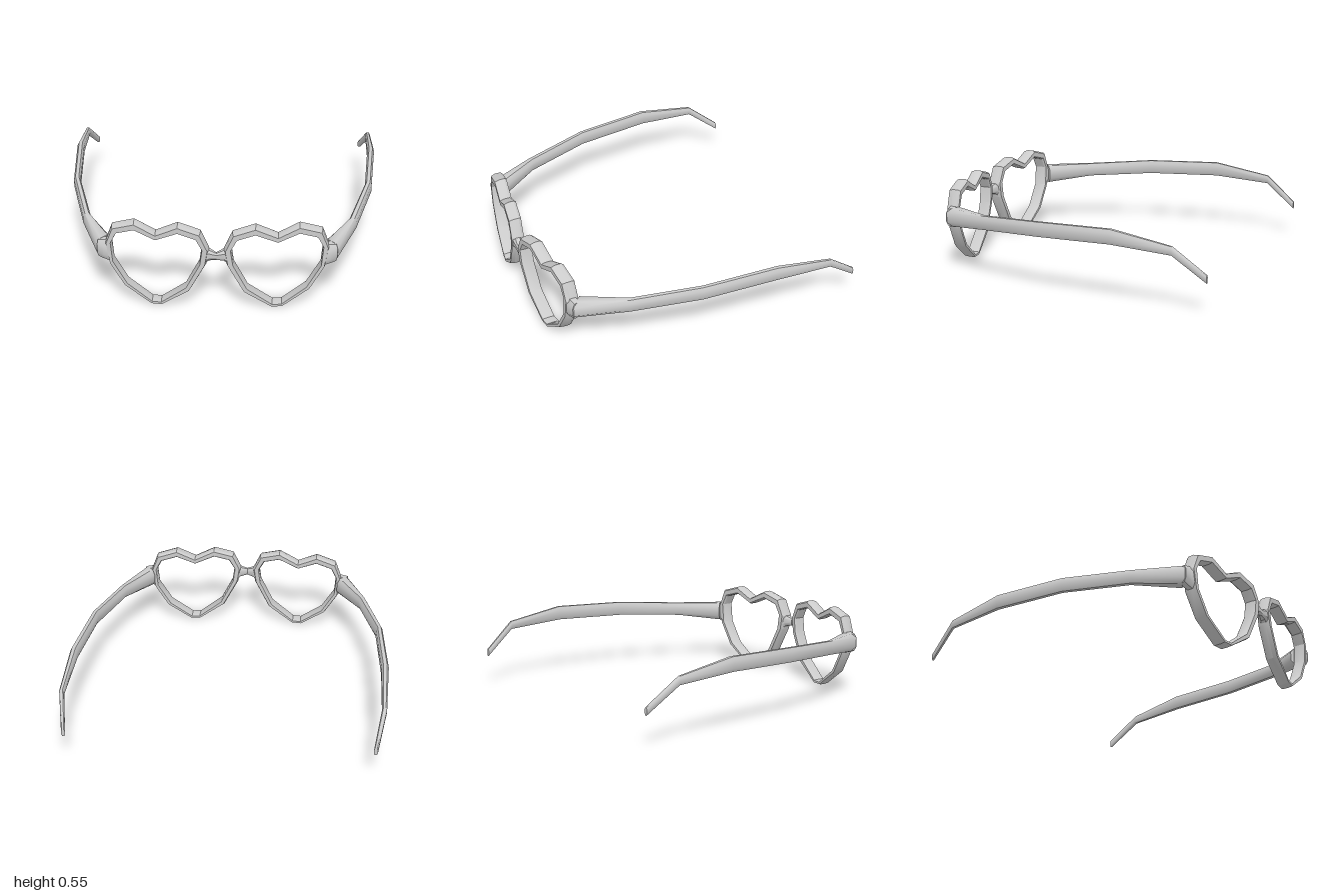
import * as THREE from 'three';
import { toCreasedNormals } from 'three/addons/utils/BufferGeometryUtils.js';

const material = new THREE.MeshStandardMaterial({ color: 0xcccccc });

// Skins a list of rings (each a list of [x, y, z]); side = -1 mirrors the part in x.
function loft(name, rings, side = 1, closed = false, crease = 0.6) {
  const n = rings[0].length, count = rings.length;
  const pos = rings.flat().flatMap(([x, y, z]) => [x * side, y, z]);
  const index = [];
  for (let i = 0; i < (closed ? count : count - 1); i++) {
    const a = i * n, b = ((i + 1) % count) * n;
    for (let j = 0; j < n; j++) {
      const k = (j + 1) % n;
      index.push(a + j, a + k, b + k, a + j, b + k, b + j);
    }
  }
  if (!closed) {
    const e = (count - 1) * n;
    for (let j = 1; j < n - 1; j++) index.push(0, j + 1, j, e, e + j, e + j + 1);
  }
  // Turn the faces outward if the enclosed volume comes out negative
  const v = (i) => new THREE.Vector3(...pos.slice(i * 3, i * 3 + 3));
  let volume = 0;
  for (let i = 0; i < index.length; i += 3) {
    volume += v(index[i]).dot(v(index[i + 1]).cross(v(index[i + 2])));
  }
  if (volume < 0) index.reverse();

  const geometry = new THREE.BufferGeometry();
  geometry.setAttribute('position', new THREE.Float32BufferAttribute(pos, 3));
  geometry.setIndex(index);
  const mesh = new THREE.Mesh(toCreasedNormals(geometry, crease), material);
  mesh.name = name;
  return mesh;
}

// Heart outlines, matching corner for corner
const outer = [[0.668, 0.39], [0.625, 0.505], [0.49, 0.545], [0.363, 0.48], [0.23, 0.545],
  [0.095, 0.505], [0.045, 0.395], [0.06, 0.3], [0.16, 0.11], [0.33, 0], [0.395, 0],
  [0.56, 0.115], [0.645, 0.26]];
const inner = [[0.63, 0.4], [0.595, 0.465], [0.49, 0.495], [0.363, 0.44], [0.23, 0.495],
  [0.125, 0.465], [0.088, 0.4], [0.102, 0.3], [0.185, 0.135], [0.335, 0.02], [0.39, 0.02],
  [0.535, 0.13], [0.62, 0.275]];

// Rim section: [blend from outer to inner, depth offset]
const rimSection = [[0, 0.012], [0.2, 0.04], [0.9, 0.04], [1, 0.015], [1, -0.03],
  [0.85, -0.04], [0.2, -0.04], [0, -0.025]];

function rim(side) {
  const rings = outer.map(([ox, oy], i) => rimSection.map(([t, dz]) => {
    const x = THREE.MathUtils.lerp(ox, inner[i][0], t);
    const y = THREE.MathUtils.lerp(oy, inner[i][1], t);
    return [x, y, 0.918 - 0.125 * x + dz];
  }));
  return loft('heartRim', rings, side, true, 0.5);
}

// Rounded eight-sided section between two plan points and two heights
const octagon = [[1, 0.5], [0.5, 1], [-0.5, 1], [-1, 0.5], [-1, -0.5], [-0.5, -1], [0.5, -1], [1, -0.5]];
function section([ax, az], [bx, bz], bottom, top) {
  return octagon.map(([u, w]) => [
    (ax + bx) / 2 + u * (bx - ax) / 2,
    (bottom + top) / 2 + w * (top - bottom) / 2,
    (az + bz) / 2 + u * (bz - az) / 2,
  ]);
}

// Temple arm, from the hinge to the drooping ear tip
function temple(side) {
  return loft('templeArm', [
    section([0.64, 0.77], [0.718, 0.85], 0.285, 0.405),
    section([0.797, 0.52], [0.842, 0.54], 0.325, 0.412),
    section([0.915, 0.1], [0.957, 0.11], 0.355, 0.445),
    section([0.955, -0.38], [1, -0.37], 0.37, 0.46),
    section([0.965, -0.75], [0.995, -0.75], 0.345, 0.397),
    section([0.928, -0.95], [0.952, -0.95], 0.19, 0.237),
  ], side, false, 0.9);
}

// Short end piece joining rim and temple
function hinge(side) {
  return loft('hinge', [
    section([0.635, 0.805], [0.635, 0.873], 0.265, 0.408),
    section([0.675, 0.79], [0.68, 0.868], 0.277, 0.405),
    section([0.7, 0.8], [0.716, 0.856], 0.29, 0.4),
  ], side);
}

export function createModel() {
  const model = new THREE.Group();
  model.name = 'heartGlasses';
  for (const side of [1, -1]) {
    const half = new THREE.Group();
    half.name = side > 0 ? 'leftSide' : 'rightSide';
    half.add(rim(side), hinge(side), temple(side));
    model.add(half);
  }
  // Bridge, pinched in the middle
  const bridge = [[-0.065, 0.305, 0.4, 0.875, 0.945], [-0.045, 0.325, 0.395, 0.885, 0.945],
    [0, 0.332, 0.376, 0.912, 0.942], [0.045, 0.325, 0.395, 0.885, 0.945],
    [0.065, 0.305, 0.4, 0.875, 0.945]];
  model.add(loft('bridge', bridge.map(([x, y0, y1, z0, z1]) => section([x, z0], [x, z1], y0, y1))));
  return model;
}
